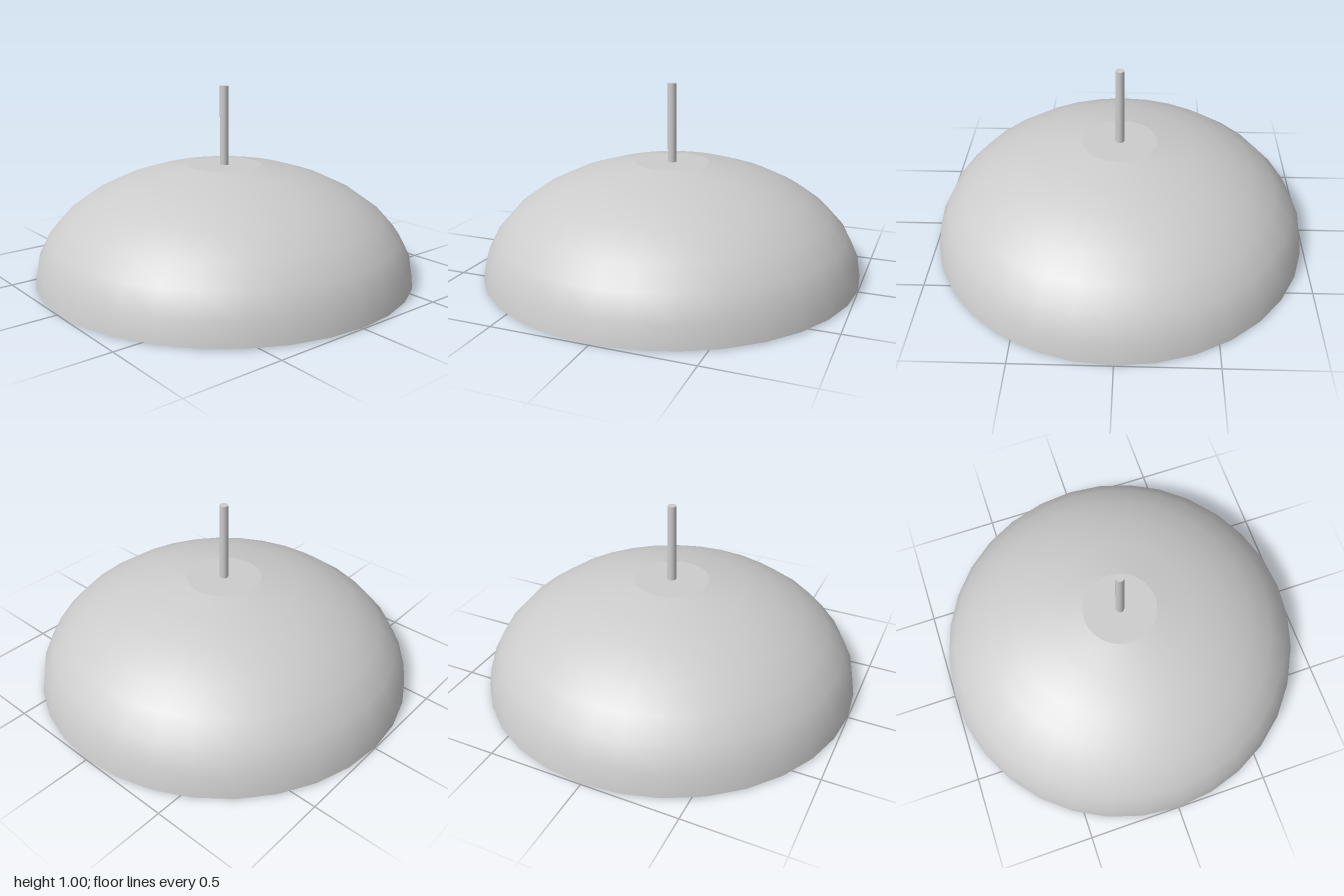
import * as THREE from 'three';

const SIDES = 32;
const BASE = 0.005;

export function createModel() {
  const group = new THREE.Group();
  const material = new THREE.MeshStandardMaterial({ color: 0xcccccc });
  const add = (name, geometry, y = 0) => {
    const mesh = new THREE.Mesh(geometry, material);
    mesh.name = name;
    mesh.position.y = y;
    group.add(mesh);
  };

  // Flattened dome profile from rim up to the edge of the flat top
  const profile = (radius, height, bottom) => Array.from({ length: 8 }, (_, i) => {
    const a = i * Math.PI / 16;
    return new THREE.Vector2(radius * Math.cos(a), bottom + height * Math.sin(a));
  });
  const outer = profile(1, 0.592, BASE);
  const inner = profile(0.976, 0.572, 0);
  const lathe = points => new THREE.LatheGeometry(points, SIDES);

  // Thin shade: outer shell, inner shell and the rim between them
  add('shadeOuter', lathe(outer));
  add('shadeInner', lathe([...inner].reverse()));
  add('shadeRim', lathe([inner[0], outer[0]]));

  // Flat discs closing the top, outside and inside
  const top = outer[7], ceiling = inner[7];
  add('topDisc', new THREE.CircleGeometry(top.x, SIDES).rotateX(-Math.PI / 2), top.y);
  add('ceilingDisc', new THREE.CircleGeometry(ceiling.x, SIDES).rotateX(Math.PI / 2), ceiling.y);

  // Hanging rod
  const rodHeight = 1 - top.y + 0.005;
  add('rod', new THREE.CylinderGeometry(0.023, 0.023, rodHeight, 16), 1 - rodHeight / 2);

  return group;
}
